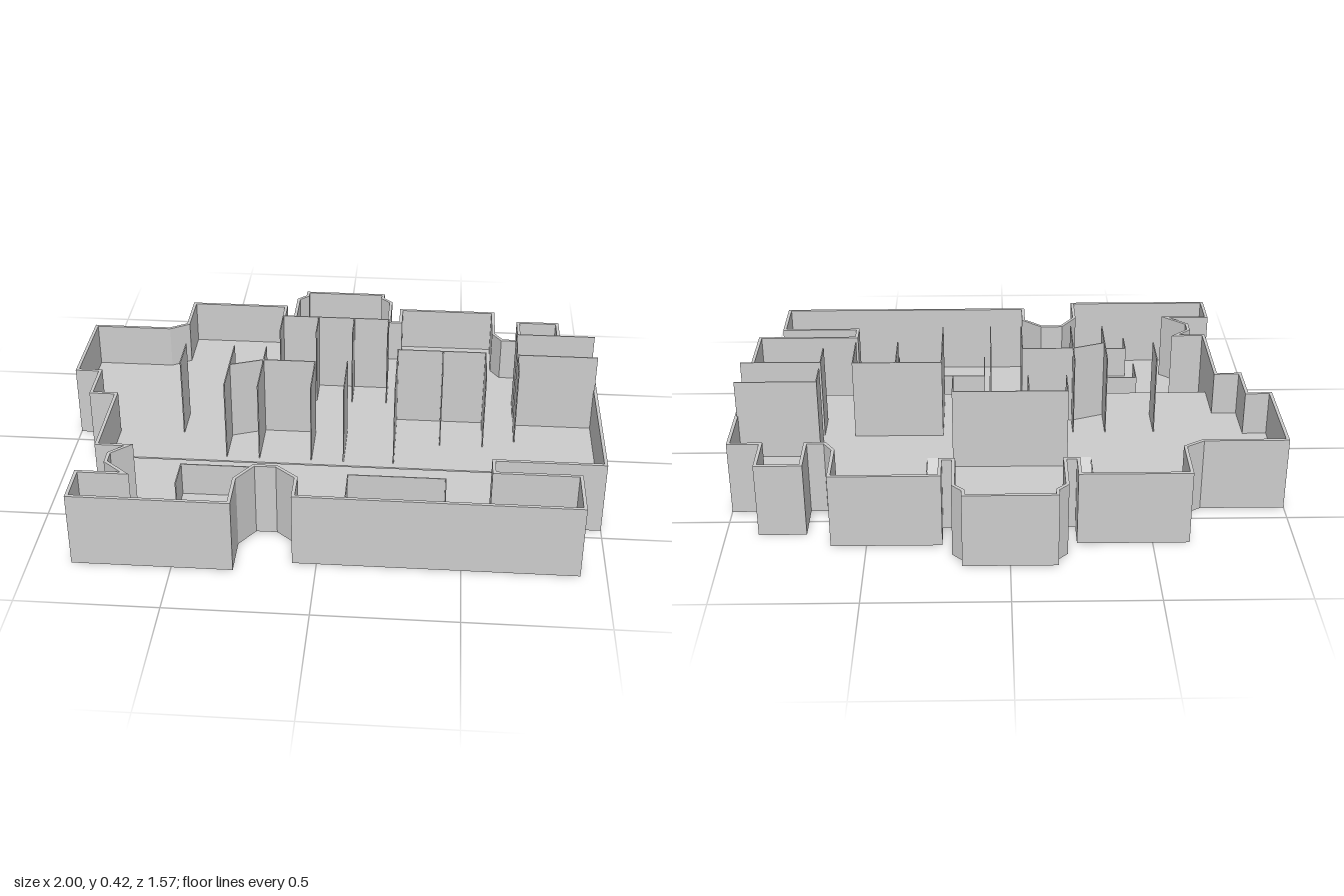
import * as THREE from 'three';

const WALL_TOP = 0.28, BASE = 0.01, UPPER = 0.11, ROOM_TOP = 0.42;
const mat = new THREE.MeshStandardMaterial({ color: 0xcccccc, flatShading: true, side: THREE.DoubleSide });

// Building outline as [x, z], clockwise seen from above
const outline = [
  [-1, -0.43], [-0.695, -0.43], [-0.63, -0.47], [-0.63, -0.655], [-0.235, -0.655], [-0.235, -0.55],
  [-0.2, -0.55], [-0.2, -0.72], [-0.165, -0.755], [-0.165, -0.79], [0.165, -0.79], [0.165, -0.755],
  [0.2, -0.72], [0.2, -0.55], [0.235, -0.55], [0.235, -0.66], [0.625, -0.66], [0.625, -0.475],
  [0.655, -0.43], [0.715, -0.43], [0.715, -0.585], [0.885, -0.585], [0.885, -0.43], [1, -0.43],
  [1, 0.455], [0.61, 0.455], [0.61, 0.52], [0.91, 0.52], [0.91, 0.725], [-0.085, 0.725],
  [-0.085, 0.61], [-0.155, 0.55], [-0.23, 0.55], [-0.285, 0.63], [-0.285, 0.78], [-0.85, 0.78],
  [-0.85, 0.62], [-0.69, 0.62], [-0.76, 0.56], [-0.76, 0.5], [-0.71, 0.455], [-0.815, 0.455],
  [-0.815, 0.105], [-0.91, 0.105], [-0.91, -0.06], [-1, -0.06],
];

const toPoints = (pts) => pts.map(([x, z]) => new THREE.Vector2(x, -z));

// Mitred inward offset of a clockwise outline
function inset(pts, d) {
  const n = pts.length;
  const normal = (a, b) => {
    const l = Math.hypot(b[0] - a[0], b[1] - a[1]);
    return [-(b[1] - a[1]) / l, (b[0] - a[0]) / l];
  };
  return pts.map((p, i) => {
    const m = normal(pts[(i + n - 1) % n], p), k = normal(p, pts[(i + 1) % n]);
    const s = d / (1 + m[0] * k[0] + m[1] * k[1]);
    return [p[0] + (m[0] + k[0]) * s, p[1] + (m[1] + k[1]) * s];
  });
}

// Horizontal plan extruded upward from y0 to y1
function slab(name, pts, holes, y0, y1) {
  const shape = new THREE.Shape(toPoints(pts));
  holes.forEach((h) => shape.holes.push(new THREE.Path(toPoints(h))));
  const geo = new THREE.ExtrudeGeometry(shape, { depth: y1 - y0, bevelEnabled: false });
  geo.rotateX(-Math.PI / 2).translate(0, y0, 0);
  const mesh = new THREE.Mesh(geo, mat);
  mesh.name = name;
  return mesh;
}

// Thin upright panel between two plan points
function panel(name, [x0, z0, x1, z1], y0, y1) {
  const len = Math.hypot(x1 - x0, z1 - z0);
  const mesh = new THREE.Mesh(new THREE.BoxGeometry(len + 0.004, y1 - y0, 0.004), mat);
  mesh.position.set((x0 + x1) / 2, (y0 + y1) / 2, (z0 + z1) / 2);
  mesh.rotation.y = -Math.atan2(z1 - z0, x1 - x0);
  mesh.name = name;
  return mesh;
}

// Sloping sheet running from (z0, y0) to (z1, y1)
function ramp(name, x, width, z0, y0, z1, y1) {
  const geo = new THREE.BoxGeometry(width, 0.004, Math.hypot(z1 - z0, y1 - y0));
  const mesh = new THREE.Mesh(geo, mat);
  mesh.position.set(x, (y0 + y1) / 2, (z0 + z1) / 2);
  mesh.rotation.x = -Math.atan2(y1 - y0, z1 - z0);
  mesh.name = name;
  return mesh;
}

export function createModel() {
  const group = new THREE.Group();
  group.name = 'floorPlan';

  // Ground floor and outer wall
  group.add(slab('groundFloor', outline, [], 0, BASE));
  group.add(slab('outerWall', outline, [inset(outline, 0.012)], BASE, WALL_TOP));

  // Raised floor over the rear, open at the two stairwells
  const rear = inset(outline, 0.004);
  const cut = rear.findIndex((p) => p[1] > 0.4);
  const end = rear.length - 4;
  const upper = [...rear.slice(0, cut), [0.996, 0.27], [-0.811, 0.27], ...rear.slice(end)];
  const wells = [-0.28, 0.27].map((x) => [
    [x - 0.028, -0.42], [x + 0.028, -0.42], [x + 0.028, -0.245], [x - 0.028, -0.245],
  ]);
  group.add(slab('raisedFloor', upper, wells, UPPER - 0.006, UPPER));

  // Stair ramps and the sloping sill in the rear bay
  for (const x of [-0.28, 0.27]) group.add(ramp('stairRamp', x, 0.056, -0.42, BASE, -0.245, UPPER));
  group.add(ramp('baySill', 0, 0.32, -0.78, 0.135, -0.725, UPPER));

  // Tall partitions on the raised floor: x0, z0, x1, z1
  const tall = [
    [-0.215, -0.305, 0.2, -0.305],
    ...[-0.215, -0.075, 0.065, 0.2].map((x) => [x, -0.305, x, -0.185]),
    [0.695, -0.22, 0.99, -0.22], [0.695, -0.22, 0.695, -0.115],
    [0.695, -0.06, 0.99, -0.06], [0.695, -0.06, 0.695, 0.06],
    [0.245, -0.068, 0.575, -0.068], [0.245, -0.068, 0.245, 0.24],
    [0.415, -0.068, 0.415, 0.105], [0.575, -0.068, 0.575, 0.105],
    [-0.56, -0.05, -0.56, 0.085], [-0.375, -0.05, -0.375, 0.24],
    [-0.253, -0.05, -0.253, 0.24], [-0.375, 0.092, -0.253, 0.046],
    [-0.253, 0.046, -0.06, 0.046], [-0.06, 0.046, -0.06, 0.24],
    [0.06, 0.035, 0.06, 0.24],
  ];
  tall.forEach((p) => group.add(panel('tallPartition', p, UPPER, ROOM_TOP)));

  // Low partitions on the front ground floor
  const low = [
    [-0.53, 0.348, -0.275, 0.348], [-0.53, 0.348, -0.53, 0.47], [-0.275, 0.348, -0.275, 0.47],
    [0.085, 0.372, 0.44, 0.372], [0.085, 0.372, 0.085, 0.545], [0.44, 0.372, 0.44, 0.545],
    [-0.51, 0.62, -0.36, 0.62], [-0.51, 0.62, -0.51, 0.72],
  ];
  low.forEach((p) => group.add(panel('lowPartition', p, BASE, 0.14)));

  return group;
}
